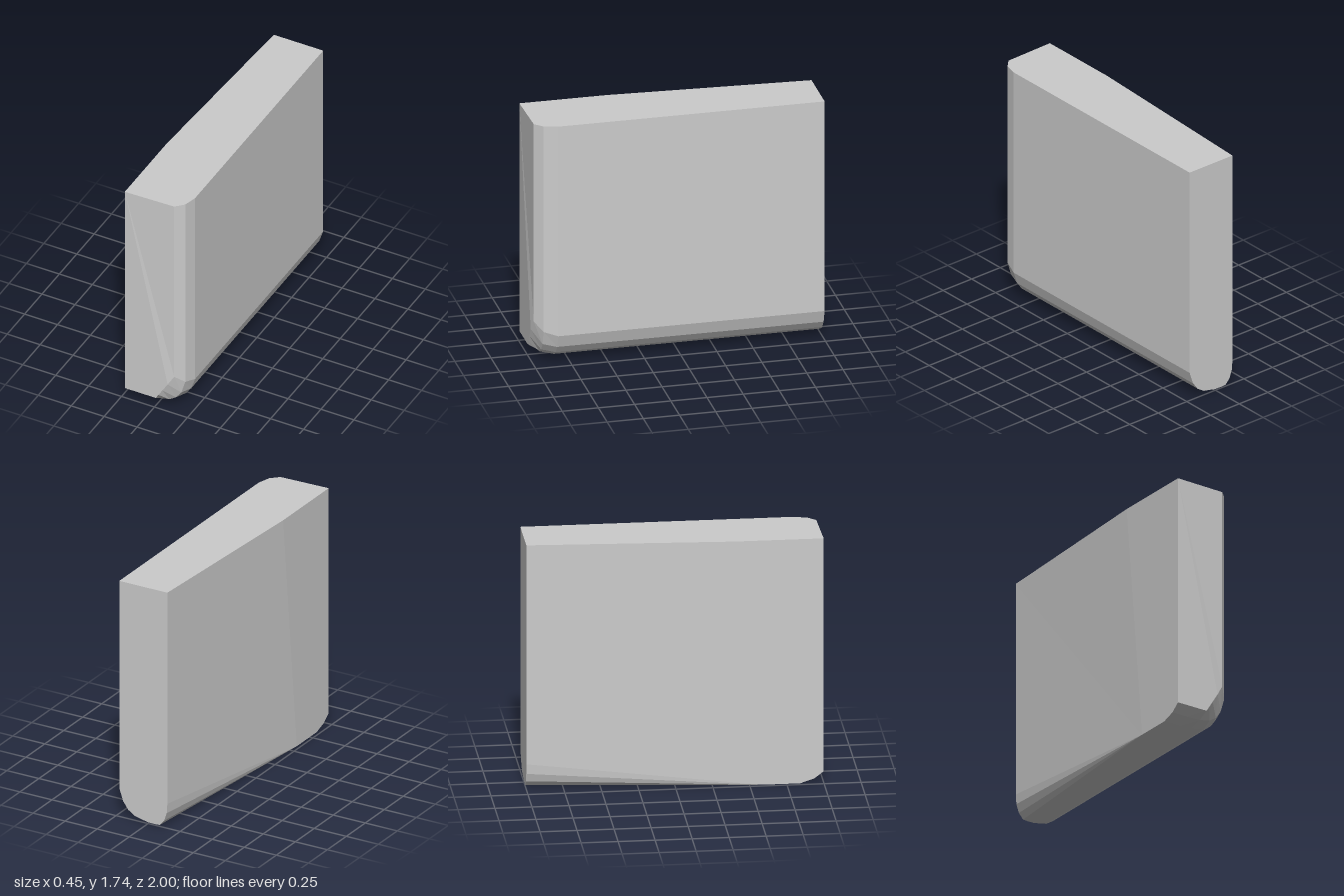
import * as THREE from 'three';

const TOP = 1.74;
const SIDE = 0.225;

// Each section runs from the +x top edge, under the rounded base, to the -x top edge.
const section = (points, zAt) => [...points].map(([x, y], i) => new THREE.Vector3(x, y, zAt(x, y, i)));

const leftEdge = (y) => [[-SIDE, y], [-SIDE, y], [-SIDE, y], [-SIDE, y], [-SIDE, TOP]];

const fullBase = [
  [SIDE, TOP], [SIDE, 0.21], [0.195, 0.12], [0.155, 0.065], [0.1, 0.03], [0, 0.006], [-0.1, 0],
];

function buildSections() {
  // flat front face outline
  const face = section([
    [0.145, TOP], [0.145, 0.3], [0.1, 0.226], [0.06, 0.161], [0.03, 0.113], [0.01, 0.08], [-0.1, 0.08],
    ...leftEdge(0.08),
  ], (x) => (x > 0.12 ? 0.99 : 1));
  // middle of the front rounding
  const rounding = section([
    [0.2, TOP], [0.2, 0.24], [0.17, 0.14], [0.13, 0.085], [0.08, 0.05], [0, 0.034], [-0.1, 0.03],
    ...leftEdge(0.03),
  ], () => 0.935);
  const full = section([...fullBase, ...leftEdge(0)], () => 0.84);
  // line where the -x side starts to taper
  const bend = section([...fullBase, ...leftEdge(0)], (x, y, i) => (i === 11 ? 0.4 : 0.58));
  // back outline with a rounded -x lower corner
  const back = section([
    ...fullBase.slice(0, 5), [0, 0.009], [-0.05, 0.008],
    [-0.09, 0.01], [-0.125, 0.05], [-0.145, 0.11], [-0.15, 0.18], [-0.15, TOP],
  ], () => -1);
  return [face, rounding, full, bend, back];
}

function loft(sections) {
  const positions = [];
  const ab = new THREE.Vector3();
  const ac = new THREE.Vector3();
  const triangle = (a, b, c) => {
    ab.subVectors(b, a);
    ac.subVectors(c, a);
    if (ab.cross(ac).length() < 1e-7) return;
    for (const p of [a, b, c]) positions.push(p.x, p.y, p.z);
  };
  const n = sections[0].length;
  for (let s = 0; s < sections.length - 1; s++) {
    const p = sections[s];
    const q = sections[s + 1];
    for (let i = 0; i < n; i++) {
      const j = (i + 1) % n;
      triangle(p[i], q[j], p[j]);
      triangle(p[i], q[i], q[j]);
    }
  }
  // end caps fan out from the -x top corner
  const front = sections[0];
  const back = sections[sections.length - 1];
  for (let i = 0; i < n - 2; i++) {
    triangle(front[n - 1], front[i + 1], front[i]);
    triangle(back[n - 1], back[i], back[i + 1]);
  }
  const geometry = new THREE.BufferGeometry();
  geometry.setAttribute('position', new THREE.Float32BufferAttribute(positions, 3));
  geometry.computeVertexNormals();
  return geometry;
}

export function createModel() {
  const group = new THREE.Group();
  group.name = 'roundedSlab';
  const material = new THREE.MeshStandardMaterial({
    color: 0xcccccc, flatShading: true, side: THREE.DoubleSide,
  });
  const slab = new THREE.Mesh(loft(buildSections()), material);
  slab.name = 'slabBody';
  group.add(slab);
  return group;
}
